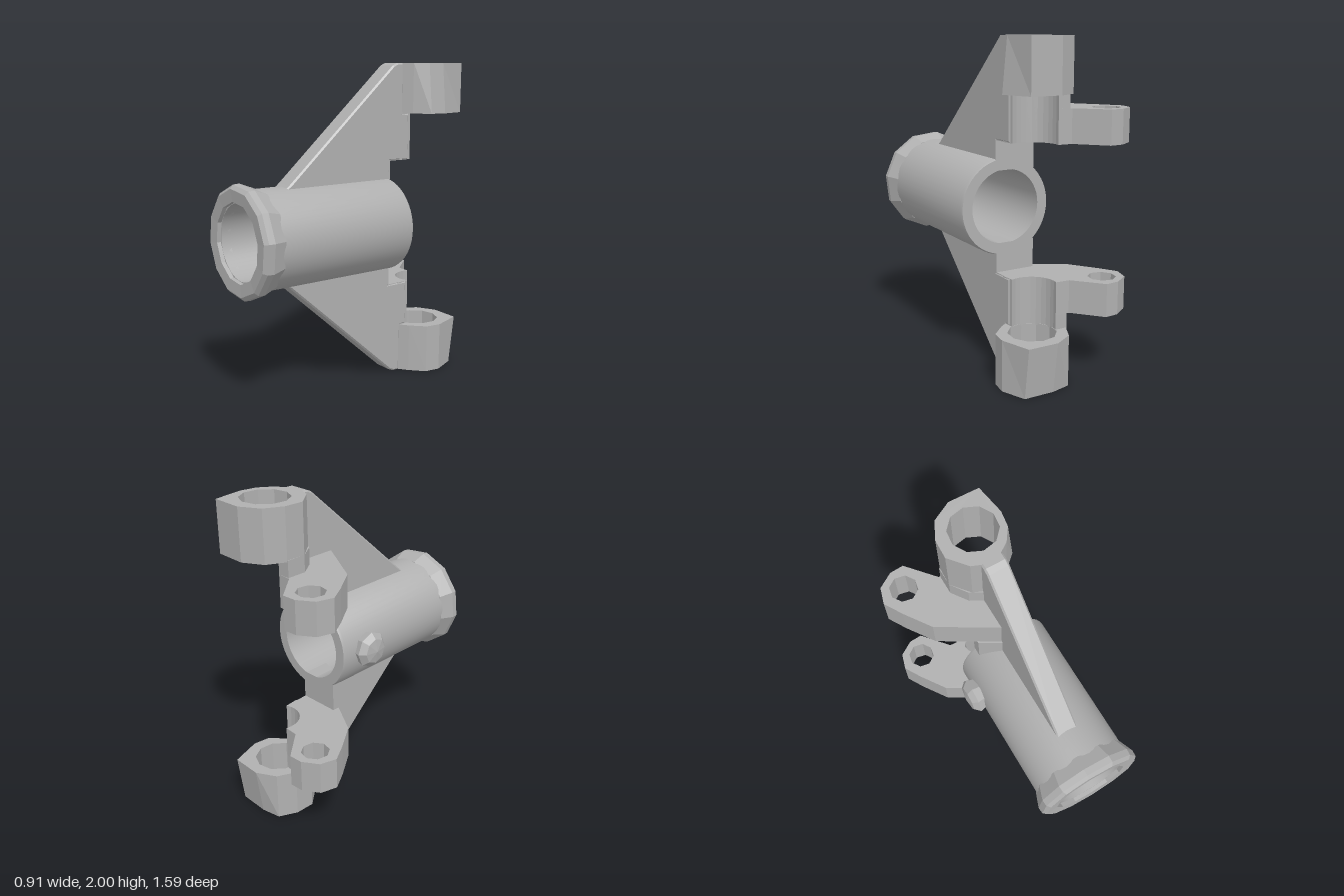
import * as THREE from 'three';
import { toCreasedNormals } from 'three/addons/utils/BufferGeometryUtils.js';

const CX = 0.125;       // tube and clamp axis in x
const CLAMP_Z = -0.58;  // clamp axis in z

export function createModel() {
  const model = new THREE.Group();
  model.name = 'hingeBracket';
  const grey = new THREE.MeshStandardMaterial({ color: 0xb0b0b0 });

  const add = (name, geo) => {
    const mesh = new THREE.Mesh(geo, grey);
    mesh.name = name;
    model.add(mesh);
    return mesh;
  };

  // horizontal slab from (x, z) outline, optional polygonal hole {x, z, r, n}
  const slab = (pts, y0, y1, hole) => {
    const shape = new THREE.Shape(pts.map(([x, z]) => new THREE.Vector2(x, -z)));
    if (hole) {
      const ring = [];
      for (let i = 0; i < hole.n; i++) {
        const a = (i / hole.n) * Math.PI * 2 + 0.2;
        ring.push(new THREE.Vector2(hole.x + hole.r * Math.cos(a), -hole.z + hole.r * Math.sin(a)));
      }
      shape.holes.push(new THREE.Path(ring));
    }
    const g = new THREE.ExtrudeGeometry(shape, { depth: y1 - y0, bevelEnabled: false });
    return g.rotateX(-Math.PI / 2).translate(0, y0, 0);
  };

  // ring of revolution along z from closed (radius, z) profile
  const turned = (profile, sides, phase = 0) =>
    new THREE.LatheGeometry(profile.map(([r, z]) => new THREE.Vector2(r, z)), sides, phase)
      .rotateX(Math.PI / 2).translate(CX, 1, 0);

  // main tube with open bore
  add('tube', toCreasedNormals(turned([
    [0.225, -0.28], [0.29, -0.28], [0.296, -0.265], [0.296, 0.7], [0.296, 0.76], [0.225, 0.76], [0.225, -0.28],
  ], 48), 0.6));

  // faceted front collar
  const collar = turned([
    [0.27, 0.64], [0.3, 0.64], [0.335, 0.73], [0.332, 0.77], [0.31, 0.79], [0.236, 0.785], [0.232, 0.7],
  ], 12, 0.15).toNonIndexed();
  collar.computeVertexNormals();
  add('frontCollar', collar);

  // faceted knob on the right side
  const knob = new THREE.LatheGeometry([
    [0.1, 0], [0.115, 0.05], [0.08, 0.085], [0, 0.1],
  ].map(([r, y]) => new THREE.Vector2(r, y)), 8).toNonIndexed();
  knob.rotateZ(Math.PI / 2).translate(-0.155, 1.005, -0.08);
  knob.computeVertexNormals();
  add('sideKnob', knob);

  // concave seat, sweeping from the -x side of the clamp to its front
  const seat = [];
  for (let i = 0; i <= 10; i++) {
    const a = Math.PI * 1.09 - (i / 10) * Math.PI * 0.72;
    seat.push([CX + 0.143 * Math.cos(a), CLAMP_Z + 0.143 * Math.sin(a)]);
  }
  const wallPlan = [...seat, [0.19, -0.36], [0.055, -0.36], [-0.02, -0.4], [-0.09, -0.5], [-0.09, -0.62]];
  const armPlan = [
    ...seat, [0.19, -0.2], [0.055, -0.16], [-0.28, -0.36], [-0.39, -0.52], [-0.455, -0.63],
    [-0.425, -0.73], [-0.33, -0.79], [-0.245, -0.795], [-0.1, -0.625],
  ];
  const clampPlan = [
    [-0.09, -0.5], [-0.085, -0.62], [-0.03, -0.73], [0.09, -0.795], [0.28, -0.79], [0.34, -0.6],
    [0.325, -0.5], [0.24, -0.42], [0.125, -0.34], [0.0, -0.39],
  ];
  const gussetSide = [
    [0.52, 1.26], [0.46, 1.31], [-0.3, 1.985], [-0.335, 2], [-0.38, 2], [-0.38, 1.69], [-0.43, 1.69],
    [-0.43, 1.4], [-0.28, 1.4], [-0.28, 1.26],
  ];
  const webPlan = [[0.19, -0.28], [0.19, -0.1], [0.055, -0.15], [-0.07, -0.22], [-0.07, -0.28]];

  // the upper and lower halves mirror about the tube axis
  for (const [label, s] of [['upper', 1], ['lower', -1]]) {
    const Y = (y) => 1 + s * (y - 1);
    const span = (a, b) => (s > 0 ? [a, b] : [Y(b), Y(a)]);

    // triangular gusset with slightly bevelled edges
    const side = new THREE.Shape(gussetSide.map(([z, y]) => new THREE.Vector2(-z, Y(y))));
    add(label + 'Gusset', new THREE.ExtrudeGeometry(side, {
      depth: 0.116, bevelEnabled: true, bevelSegments: 1,
      bevelSize: 0.01, bevelThickness: 0.01, bevelOffset: -0.01,
    }).rotateY(Math.PI / 2).translate(0.065, 0, 0));

    add(label + 'Web', slab(webPlan, ...span(1.22, 1.405)));
    add(label + 'Seat', slab(wallPlan, ...span(1.4, 1.7)));
    add(label + 'EarArm', slab(armPlan, ...span(1.4, 1.6), { x: -0.31, z: -0.66, r: 0.085, n: 8 }));

    // clamp ring, tapering inwards toward its outer end
    const clamp = slab(clampPlan, ...span(1.69, 2), { x: CX, z: CLAMP_Z, r: 0.145, n: 10 });
    const p = clamp.attributes.position;
    for (let i = 0; i < p.count; i++) {
      const outer = Math.abs(p.getY(i) - 1) > 0.9;
      if (outer && s > 0 && p.getX(i) > 0.3) p.setX(i, p.getX(i) - 0.03);
      if (outer && s < 0 && p.getZ(i) < -0.76) p.setZ(i, p.getZ(i) + 0.04);
    }
    clamp.computeVertexNormals();
    add(label + 'ClampRing', clamp);
  }
  return model;
}
